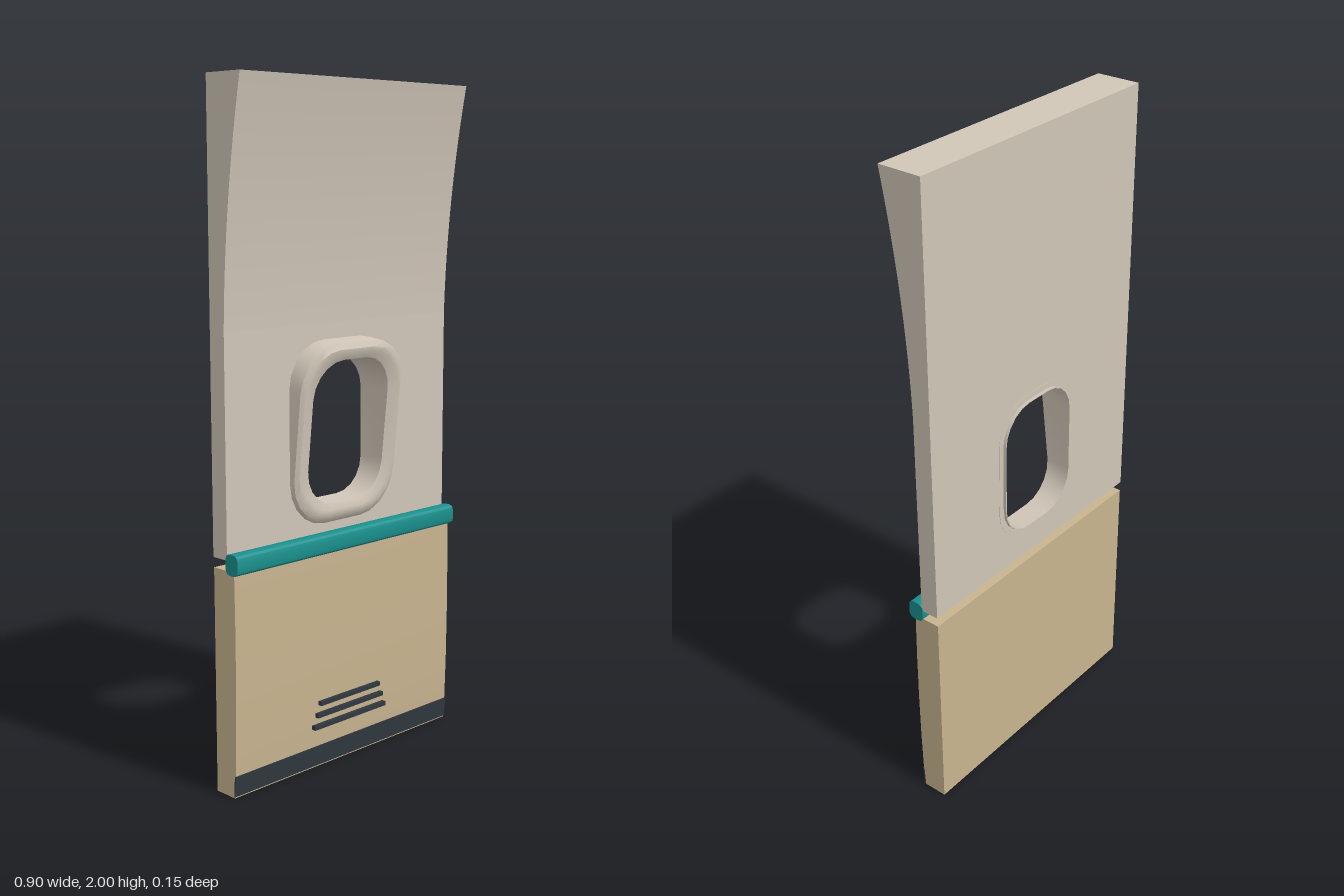
import * as THREE from 'three';
import { toCreasedNormals } from 'three/addons/utils/BufferGeometryUtils.js';

const HALF = 0.448;   // half width of the panel
const BACK = -0.063;  // rear plane
const WALL = -0.005;  // front plane of the window section
const WIN_Y = 1.003;  // window centre height

// Extrudes a side profile of [z, y] points across the width.
function sideExtrude(points, half) {
  const shape = new THREE.Shape(points.map(([z, y]) => new THREE.Vector2(-z, y)));
  const g = new THREE.ExtrudeGeometry(shape, { depth: half * 2, bevelEnabled: false });
  g.translate(0, 0, -half).rotateY(Math.PI / 2);
  return toCreasedNormals(g, 0.5);
}

// Counter-clockwise rounded rectangle about the origin.
function roundedLoop(hw, hh, r, seg = 5) {
  const pts = [];
  [[1, 1], [-1, 1], [-1, -1], [1, -1]].forEach(([sx, sy], q) => {
    for (let i = 0; i <= seg; i++) {
      const a = (q + i / seg) * Math.PI / 2;
      pts.push(new THREE.Vector2(sx * (hw - r) + r * Math.cos(a), sy * (hh - r) + r * Math.sin(a)));
    }
  });
  return pts;
}

// The window surround stands further forward towards its top.
function bezelFront(y) {
  const t = THREE.MathUtils.clamp((y + 0.27) / 0.51, 0, 1);
  return 0.012 + 0.05 * Math.pow(t, 1.8);
}

// Skins rounded loops: [half width, half height, radius, z or offset from the flared front, flared]
function bezelGeometry() {
  const rings = [
    [0.168, 0.230, 0.118, BACK - 0.001, false],
    [0.168, 0.230, 0.118, WALL, false],
    [0.210, 0.270, 0.135, WALL, false],
    [0.206, 0.262, 0.132, -0.008, true],
    [0.194, 0.244, 0.125, 0, true],
    [0.180, 0.232, 0.120, 0, true],
    [0.153, 0.213, 0.108, -0.008, true],
    [0.147, 0.209, 0.104, -0.073, false],
    [0.150, 0.212, 0.106, -0.073, false],
    [0.150, 0.212, 0.106, BACK - 0.001, false],
    [0.168, 0.230, 0.118, BACK - 0.001, false],
  ];
  const pos = [], idx = [];
  let n = 0;
  for (const [hw, hh, r, z, flared] of rings) {
    const loop = roundedLoop(hw, hh, r);
    n = loop.length;
    for (const p of loop) pos.push(p.x, p.y, flared ? bezelFront(p.y) + z : z);
  }
  for (let k = 0; k < rings.length - 1; k++) {
    for (let i = 0; i < n; i++) {
      const j = (i + 1) % n, a = k * n + i, b = k * n + j, c = a + n, d = b + n;
      idx.push(a, b, d, a, d, c);
    }
  }
  const g = new THREE.BufferGeometry();
  g.setAttribute('position', new THREE.Float32BufferAttribute(pos, 3));
  g.setIndex(idx);
  return toCreasedNormals(g, 0.5);
}

export function createModel() {
  const group = new THREE.Group();
  const material = (name, color) => {
    const m = new THREE.MeshStandardMaterial({ color });
    m.name = name;
    return m;
  };
  const cream = material('warm grey', 0xd0c6b8);
  const tan = material('tan', 0xc8b48f);
  const teal = material('teal', 0x1a908d);
  const dark = material('dark slate', 0x30383f);
  const add = (name, geometry, mat) => {
    const mesh = new THREE.Mesh(geometry, mat);
    mesh.name = name;
    group.add(mesh);
    return mesh;
  };

  // Upper panel, sweeping forward to the top
  const upper = [[BACK, 2], [BACK, 1.32]];
  for (let i = 0; i <= 12; i++) {
    const t = i / 12;
    upper.push([WALL + 0.018 * t + 0.06 * t * t, 1.32 + 0.68 * t]);
  }
  add('upperPanel', sideExtrude(upper, HALF), cream);

  // Window panel with a rounded opening
  const wall = new THREE.Shape([
    new THREE.Vector2(-HALF, 0.69), new THREE.Vector2(HALF, 0.69),
    new THREE.Vector2(HALF, 1.32), new THREE.Vector2(-HALF, 1.32),
  ]);
  const hole = roundedLoop(0.168, 0.23, 0.118).map(p => new THREE.Vector2(p.x, p.y + WIN_Y));
  wall.holes.push(new THREE.Path(hole.reverse()));
  const wallGeometry = new THREE.ExtrudeGeometry(wall, { depth: WALL - BACK, bevelEnabled: false });
  add('windowPanel', wallGeometry.translate(0, 0, BACK), cream);

  // Window surround and tunnel
  add('windowSurround', bezelGeometry(), cream).position.y = WIN_Y;

  // Lower panel, gently bowed and tucked in at the foot
  const lower = [[BACK, 0.66], [BACK, 0], [0.013, 0], [0.018, 0.07], [0.022, 0.2],
    [0.024, 0.35], [0.024, 0.5], [0.022, 0.66]];
  add('lowerPanel', sideExtrude(lower, 0.446), tan);

  // Kick strip
  const kick = [[0.012, 0.004], [0.015, 0.004], [0.021, 0.066], [0.016, 0.066]];
  add('kickStrip', sideExtrude(kick, 0.448), dark);

  // Rail between the panels
  const rail = roundedLoop(0.025, 0.03, 0.016, 3).map(p => [0.016 - p.x, 0.68 + p.y]);
  add('rail', sideExtrude(rail, 0.45), teal);

  // Vent slots
  [[0.2, 0.125], [0.165, 0.138], [0.13, 0.15]].forEach(([y, half], i) => {
    const slot = add('ventSlot' + (i + 1), new THREE.BoxGeometry(half * 2, 0.013, 0.016), dark);
    slot.position.set(0, y, 0.026);
  });

  return group;
}
